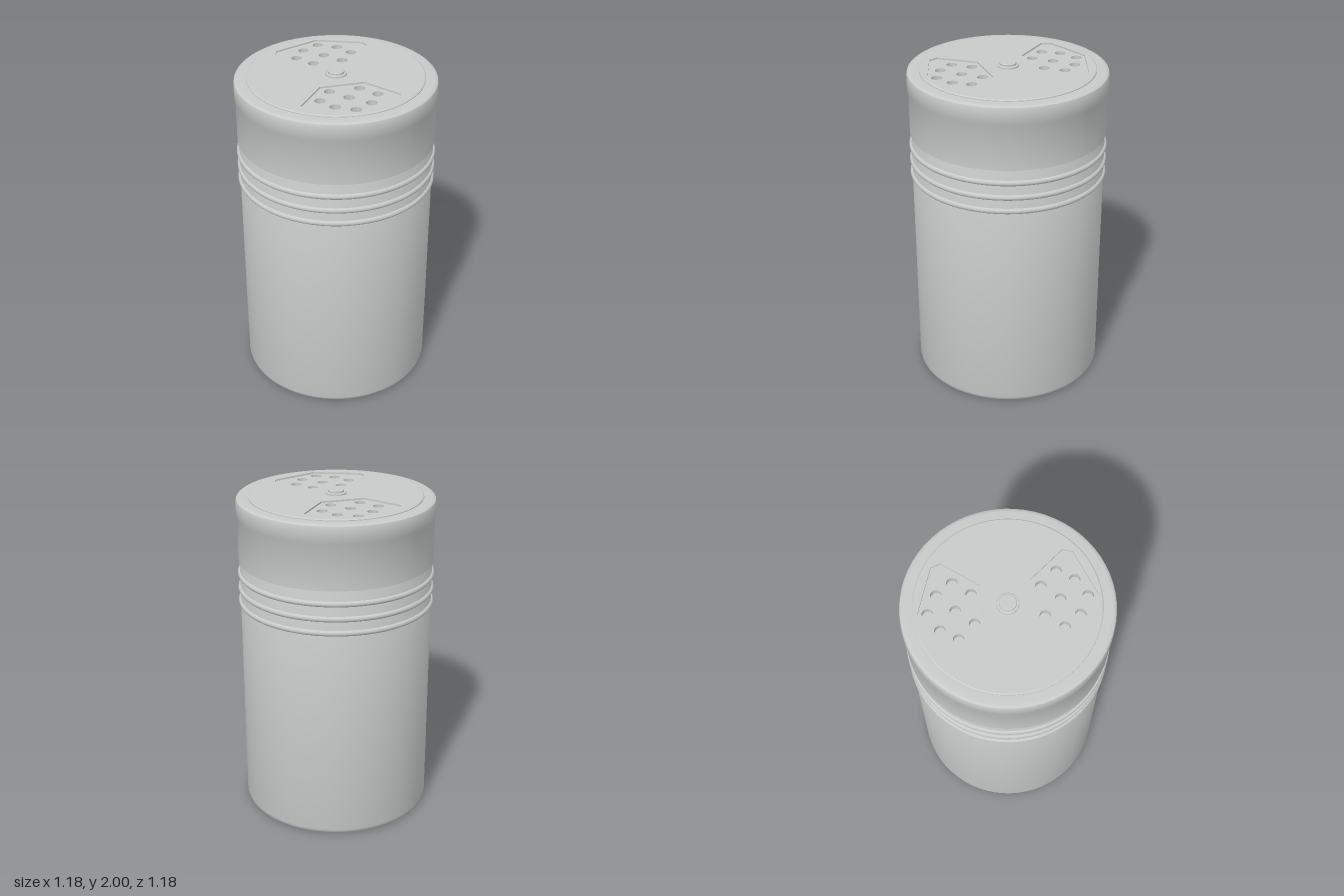
import * as THREE from 'three';
import { toCreasedNormals } from 'three/addons/utils/BufferGeometryUtils.js';

const SEGMENTS = 64;

export function createModel() {
  const model = new THREE.Group();
  model.name = 'spiceShaker';
  const metal = new THREE.MeshStandardMaterial({ color: 0xc8cac9 });
  metal.name = 'lightGreyMetal';

  function add(name, geometry, y = 0) {
    const mesh = new THREE.Mesh(geometry, metal);
    mesh.name = name;
    mesh.position.y = y;
    model.add(mesh);
  }

  // Turned part from [radius, height] pairs, bottom to top
  function turned(name, profile) {
    const points = profile.map(([r, y]) => new THREE.Vector2(r, y));
    add(name, toCreasedNormals(new THREE.LatheGeometry(points, SEGMENTS), 0.6));
  }

  // Horizontal round plate with cut-outs
  function plate(name, radius, y, depth, holes) {
    const shape = new THREE.Shape().absarc(0, 0, radius, 0, Math.PI * 2);
    shape.holes.push(...holes);
    const geometry = new THREE.ExtrudeGeometry(shape, { depth, bevelEnabled: false, curveSegments: SEGMENTS / 2 });
    geometry.rotateX(-Math.PI / 2);
    add(name, toCreasedNormals(geometry, 0.6), y);
  }

  // Container with rounded foot and tapered neck
  turned('body', [
    [0, 0], [0.55, 0], [0.562, 0.004], [0.571, 0.013], [0.575, 0.03],
    [0.575, 1.53], [0.55, 1.585], [0.55, 1.62],
  ]);

  // Grip ribs
  for (const y of [1.33, 1.415, 1.505]) {
    const rib = new THREE.TorusGeometry(0.57, 0.018, 12, SEGMENTS);
    rib.rotateX(Math.PI / 2);
    add('gripRib', rib, y);
  }

  // Lid wall with a slightly wider rounded rim
  turned('lidWall', [
    [0.53, 1.585], [0.581, 1.585], [0.581, 1.85], [0.587, 1.86], [0.587, 1.945],
    [0.583, 1.957], [0.575, 1.963], [0.562, 1.965], [0.5, 1.965],
  ]);

  // Sprinkle holes and the windows over them, on both sides of the lid
  const holeSpots = [
    [0, 0.435], [0.103, 0.378], [-0.103, 0.378], [0, 0.285],
    [0.165, 0.285], [-0.165, 0.285], [0.087, 0.19], [-0.087, 0.19],
  ];
  const halfWindow = [[0.13, 0.14], [0.284, 0.335], [0.265, 0.39]];
  const sprinkleHoles = [];
  const windows = [];
  for (const side of [1, -1]) {
    for (const [x, z] of holeSpots) {
      sprinkleHoles.push(new THREE.Path().absarc(x, z * side, 0.031, 0, Math.PI * 2));
    }
    const outline = [
      ...halfWindow, [0, 0.49],
      ...halfWindow.map(([x, z]) => [-x, z]).reverse(),
    ];
    windows.push(new THREE.Path(outline.map(([x, z]) => new THREE.Vector2(x, z * side))));
  }
  plate('lidTop', 0.505, 1.925, 0.04, sprinkleHoles);
  const floor = new THREE.CircleGeometry(0.505, SEGMENTS);
  floor.rotateX(-Math.PI / 2);
  add('lidFloor', floor, 1.924);

  // Turning disc with bevelled edge
  plate('turningDisc', 0.507, 1.965, 0.01, windows);
  turned('discEdge', [[0.514, 1.965], [0.514, 1.97], [0.507, 1.975]]);

  // Centre rivet
  turned('rivet', [
    [0.062, 1.975], [0.062, 1.984], [0.058, 1.987], [0.048, 1.987],
    [0.048, 1.997], [0.044, 2], [0, 2],
  ]);

  return model;
}
